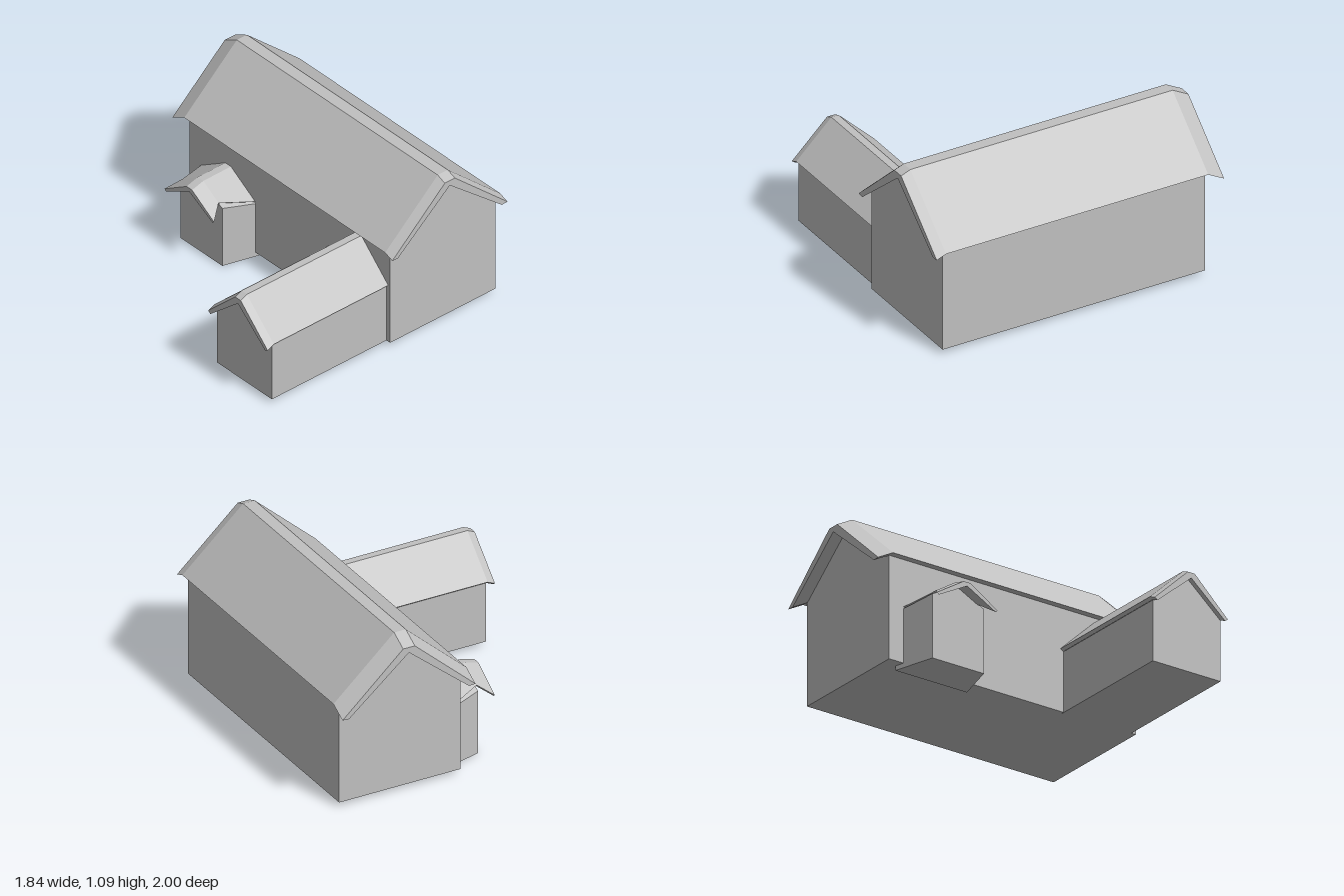
import * as THREE from 'three';

const plaster = new THREE.MeshStandardMaterial({ color: 0xc0c0c0 });
plaster.name = 'light grey';

// Closed solid through cross-sections; each section is { t, points: [[u, y], ...] } counter-clockwise, t rising.
function loft(name, sections) {
  const pos = [];
  const tri = (a, b, c) => pos.push(...a, ...b, ...c);
  const rings = sections.map(s => s.points.map(([u, y]) => [u, y, s.t]));
  const n = rings[0].length;
  for (let k = 0; k < rings.length - 1; k++) {
    for (let i = 0; i < n; i++) {
      const j = (i + 1) % n, A = rings[k], B = rings[k + 1];
      tri(A[i], A[j], B[j]);
      tri(A[i], B[j], B[i]);
    }
  }
  // End caps
  const cap = (ring, front) => {
    const outline = ring.map(p => new THREE.Vector2(p[0], p[1]));
    for (const [a, b, c] of THREE.ShapeUtils.triangulateShape(outline, [])) {
      if (front) tri(ring[a], ring[b], ring[c]);
      else tri(ring[a], ring[c], ring[b]);
    }
  };
  cap(rings[0], false);
  cap(rings[rings.length - 1], true);
  const geo = new THREE.BufferGeometry();
  geo.setAttribute('position', new THREE.Float32BufferAttribute(pos, 3));
  geo.computeVertexNormals();
  const mesh = new THREE.Mesh(geo, plaster);
  mesh.name = name;
  return mesh;
}

// Gabled wall outline: c centre, w half width
const gable = (c, w, base, eave, apex) =>
  [[c - w, base], [c + w, base], [c + w, eave], [c, apex], [c - w, eave]];

// Roof outline with a flat ridge: w half width, r half ridge, lip eave depth, drop vertical shift
function roof({ c, w, r, eave, ridge, lip, under, apex }, drop = 0) {
  return [
    [c - w, eave], [c - w + lip, under], [c, apex], [c + w - lip, under],
    [c + w, eave], [c + r, ridge], [c - r, ridge],
  ].map(([u, y]) => [u, y - drop]);
}

function createModel() {
  const model = new THREE.Group();
  model.name = 'farmhouse';

  // Main house, ridge along z
  const main = new THREE.Group();
  main.name = 'mainHouse';
  const mainWalls = gable(0.457, 0.418, 0.03, 0.715, 1.06);
  const mainRoof = { c: 0.457, w: 0.458, r: 0.04, eave: 0.715, ridge: 1.09, lip: 0.045, under: 0.713, apex: 1.055 };
  main.add(
    loft('mainWalls', [{ t: -0.89, points: mainWalls }, { t: 0.935, points: mainWalls }]),
    loft('mainRoof', [
      { t: -1, points: roof(mainRoof, 0.06) },
      { t: -0.89, points: roof(mainRoof) },
      { t: 0.935, points: roof(mainRoof) },
      { t: 1, points: roof(mainRoof, 0.025) },
    ]),
  );

  // Side wing, ridge along x (local z points to -x)
  const wing = new THREE.Group();
  wing.name = 'sideWing';
  wing.rotation.y = -Math.PI / 2;
  const wingWalls = gable(0.65, 0.25, 0.028, 0.43, 0.65);
  const wingRoof = { c: 0.648, w: 0.27, r: 0.025, eave: 0.445, ridge: 0.68, lip: 0.02, under: 0.43, apex: 0.645 };
  wing.add(
    loft('wingWalls', [{ t: -0.06, points: wingWalls }, { t: 0.87, points: wingWalls }]),
    loft('wingRoof', [
      { t: -0.04, points: roof(wingRoof) },
      { t: 0.87, points: roof(wingRoof) },
      { t: 0.92, points: roof(wingRoof, 0.022) },
    ]),
  );

  // Entrance porch with splayed walls and a pinched roof
  const porch = new THREE.Group();
  porch.name = 'porch';
  porch.rotation.y = -Math.PI / 2;
  const porchRoof = (w, eave, ridge) =>
    roof({ c: -0.537, w, r: 0.025, eave, ridge, lip: 0.015, under: eave - 0.012, apex: ridge - 0.025 });
  porch.add(
    loft('porchWalls', [
      { t: -0.1, points: gable(-0.535, 0.265, 0, 0.38, 0.52) },
      { t: 0.175, points: gable(-0.535, 0.19, 0, 0.425, 0.52) },
    ]),
    loft('porchRoof', [
      { t: -0.05, points: porchRoof(0.25, 0.4, 0.542) },
      { t: 0.18, points: porchRoof(0.163, 0.452, 0.54) },
      { t: 0.27, points: porchRoof(0.225, 0.388, 0.515) },
    ]),
  );

  model.add(main, wing, porch);
  return model;
}

export { createModel };
